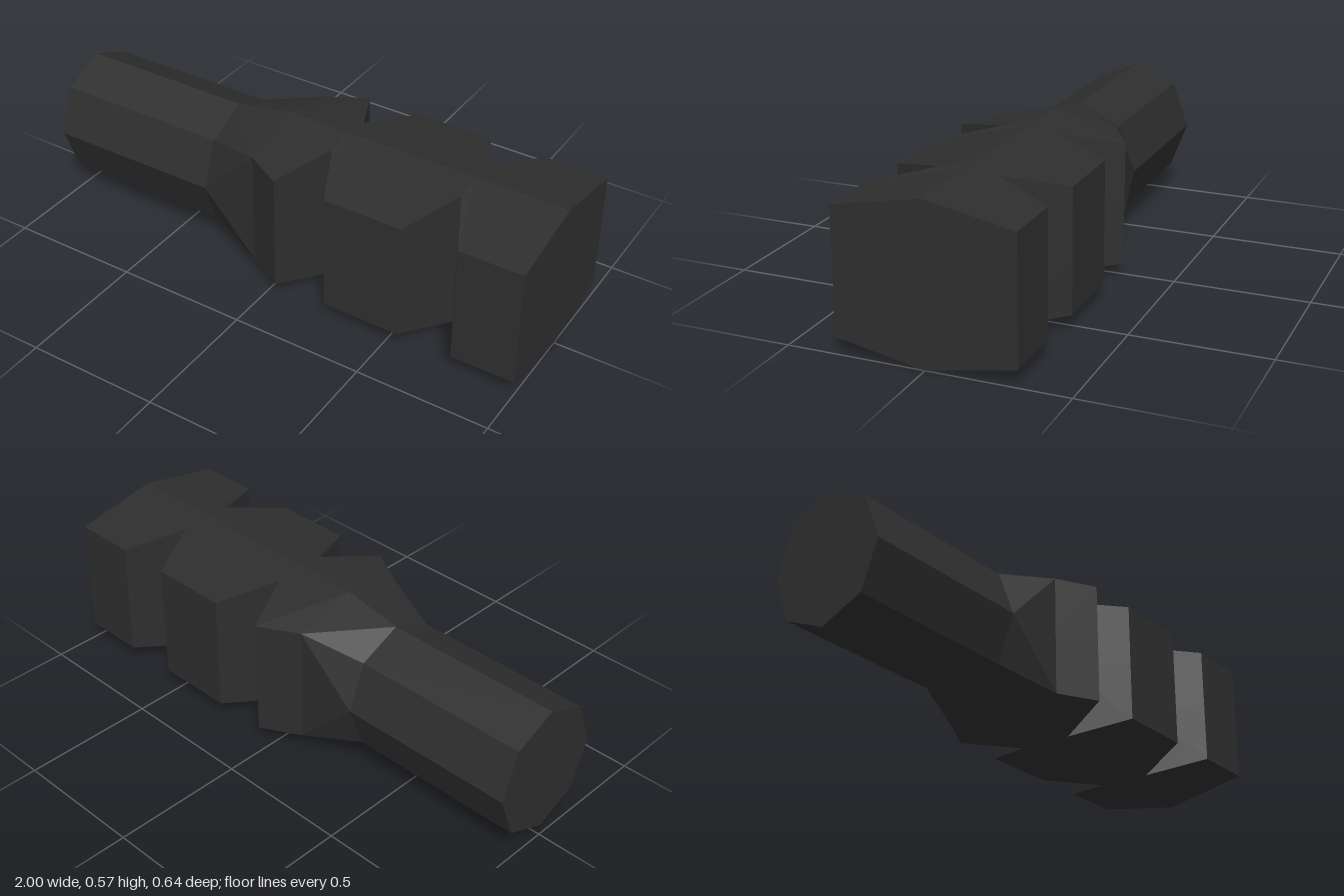
import * as THREE from 'three';

const MID = 0.29; // height of the long axis

// Eight-point ring at x, clockwise from the top: ridge, shoulder, side, lower shoulder, ...
function ring(x, top, frontY, shoulderZ, sideZ, backY = frontY) {
  return [
    [0, top], [shoulderZ, frontY], [sideZ, 0], [shoulderZ, -frontY],
    [0, -top], [-shoulderZ, -backY], [-sideZ, 0], [-shoulderZ, backY],
  ].map(([z, y]) => new THREE.Vector3(x, MID + y - 0.001, z));
}

// Joins rings along x into a faceted skin, with optional flat ends
function loft(rings, capStart, capEnd) {
  const pos = [];
  const tri = (...pts) => pts.forEach((p) => pos.push(p.x, p.y, p.z));
  for (let i = 0; i < rings.length - 1; i++) {
    for (let k = 0; k < 8; k++) {
      const n = (k + 1) % 8;
      const a = rings[i][k], d = rings[i][n], b = rings[i + 1][k], c = rings[i + 1][n];
      // alternate the diagonals so the facets mirror
      if (k % 2 === 0) { tri(a, d, c); tri(a, c, b); }
      else { tri(a, d, b); tri(d, c, b); }
    }
  }
  const first = rings[0], last = rings[rings.length - 1];
  for (let k = 1; k < 7; k++) {
    if (capStart) tri(first[0], first[k + 1], first[k]);
    if (capEnd) tri(last[0], last[k], last[k + 1]);
  }
  const geo = new THREE.BufferGeometry();
  geo.setAttribute('position', new THREE.Float32BufferAttribute(pos, 3));
  geo.computeVertexNormals();
  return geo;
}

export function createModel() {
  const group = new THREE.Group();
  const black = new THREE.MeshStandardMaterial({ color: 0x2e2e2e });
  black.name = 'matte black';
  black.flatShading = true;

  const add = (name, geo) => {
    const mesh = new THREE.Mesh(geo, black);
    mesh.name = name;
    group.add(mesh);
  };

  const shaft = (x) => ring(x, 0.245, 0.174, 0.163, 0.228);
  const block = (x, w) => ring(x, 0.287, 0.226, w, w);
  const groove = (x) => ring(x, 0.287, 0.274, 0.105, 0.105, 0.268);

  // Octagonal shaft
  add('shaft', loft([shaft(-1), shaft(-0.325)], true, false));

  // Flared collar between shaft and grip
  add('collar', loft([shaft(-0.325), block(-0.1, 0.24)], false, false));

  // Grip with two V-shaped grooves on each side
  add('notchedGrip', loft([
    block(-0.1, 0.24), block(0.045, 0.32),
    groove(0.148), block(0.25, 0.32),
    block(0.55, 0.32), groove(0.655),
    block(0.76, 0.32), block(1, 0.32),
  ], false, true));

  return group;
}
